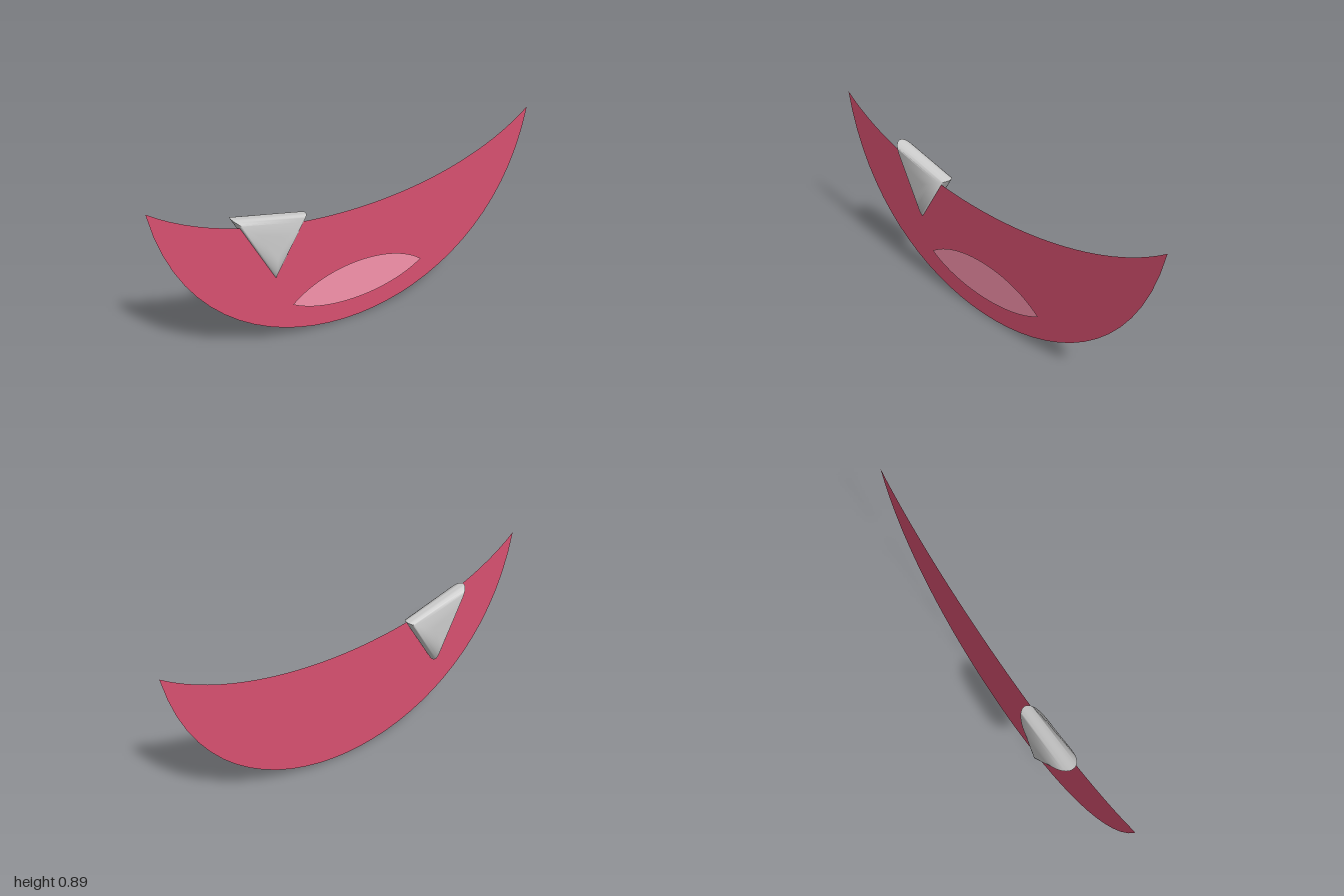
import * as THREE from 'three';
import { toCreasedNormals } from 'three/addons/utils/BufferGeometryUtils.js';

const material = (color) => new THREE.MeshStandardMaterial({ color, side: THREE.DoubleSide });

function addMesh(group, name, geometry, color) {
  const mesh = new THREE.Mesh(geometry, material(color));
  mesh.name = name;
  group.add(mesh);
  return mesh;
}

// Flat crescent: steep outer curve below, shallow curve above
function mouthShape() {
  const shape = new THREE.Shape();
  shape.moveTo(-1, 0.895);
  shape.bezierCurveTo(-0.85, -0.292, 0.85, -0.292, 1, 0.895);
  shape.bezierCurveTo(0.53, 0.528, -0.53, 0.528, -1, 0.895);
  return shape;
}

// Pointed lens
function tongueShape() {
  const shape = new THREE.Shape();
  shape.moveTo(-0.37, 0.21);
  shape.bezierCurveTo(-0.18, 0.085, 0.18, 0.085, 0.37, 0.21);
  shape.bezierCurveTo(0.18, 0.37, -0.18, 0.37, -0.37, 0.21);
  return shape;
}

// Triangular fang, puffed front and back by a wide round bevel
function toothGeometry() {
  const centre = new THREE.Vector2(-0.445, 0.59);
  const inset = 0.138;
  const corners = [[-0.452, 0.37], [-0.266, 0.66], [-0.635, 0.74]].map(([x, y]) => {
    const corner = new THREE.Vector2(x, y);
    const inward = centre.clone().sub(corner).setLength(inset);
    return corner.add(inward);
  });
  const geometry = new THREE.ExtrudeGeometry(new THREE.Shape(corners), {
    depth: 0.002,
    bevelThickness: 0.061,
    bevelSize: inset / Math.SQRT2, // sharp corners move out by bevelSize * sqrt(2)
    bevelSegments: 14,
  });
  geometry.translate(0, 0, -0.001);
  return toCreasedNormals(geometry, 1.5);
}

export function createModel() {
  const group = new THREE.Group();
  group.name = 'fangedSmile';
  const mouth = addMesh(group, 'mouth', new THREE.ShapeGeometry(mouthShape(), 32), 0xd85070);
  mouth.position.z = 0.03;
  // Tongue lies just in front of the mouth
  const tongue = addMesh(group, 'tongue', new THREE.ShapeGeometry(tongueShape(), 24), 0xf792ab);
  tongue.position.z = 0.037;
  addMesh(group, 'tooth', toothGeometry(), 0xcccccc);
  return group;
}
